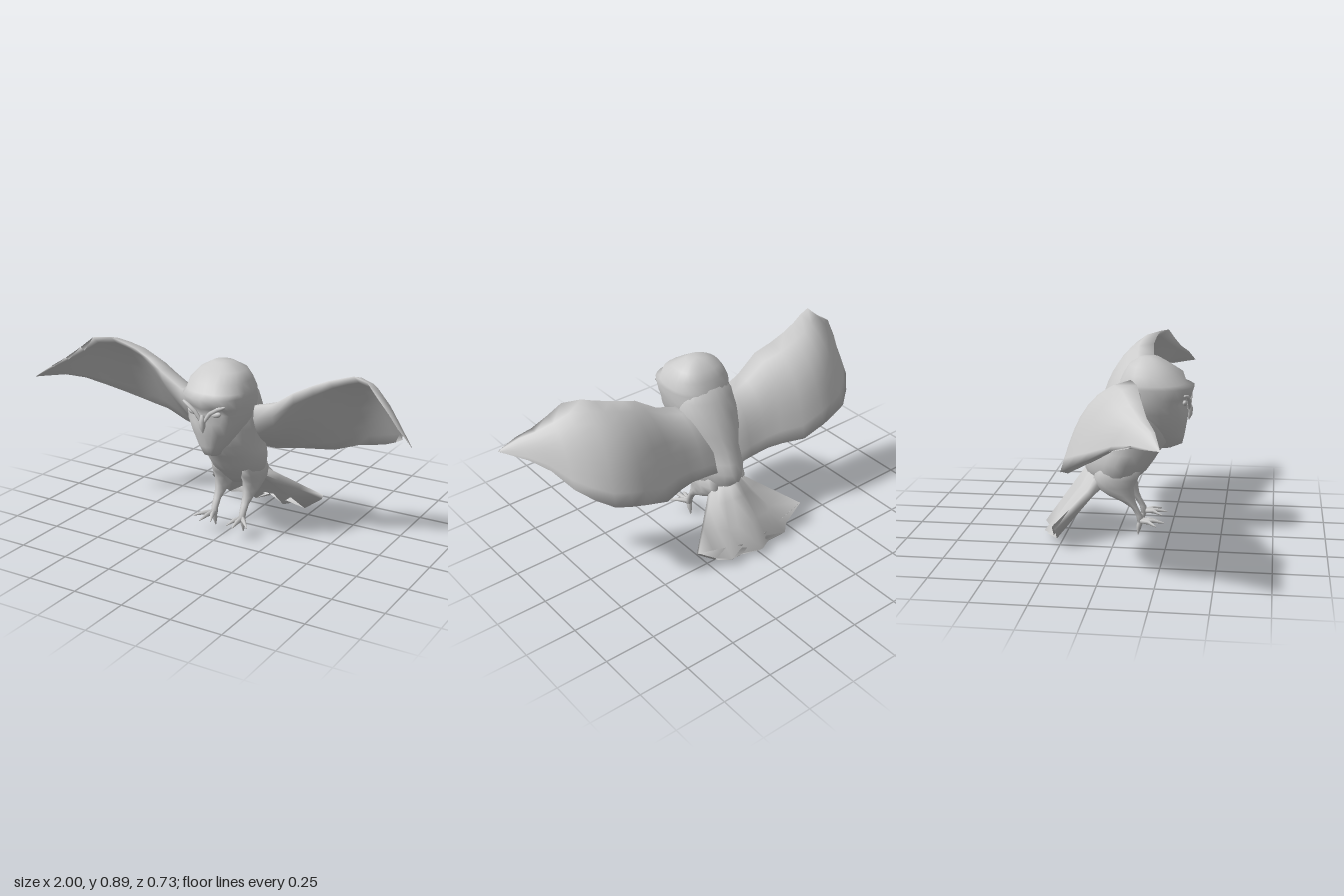
import * as THREE from 'three';

const material = new THREE.MeshStandardMaterial({ color: 0xcccccc, side: THREE.DoubleSide });
const V = (x, y, z) => new THREE.Vector3(x, y, z);

// Skin a list of equal-sized rings into a closed form, capped at both ends
function loft(name, rings) {
  const n = rings[0].length, pts = rings.flat(), index = [];
  for (let r = 0; r < rings.length - 1; r++) {
    for (let i = 0; i < n; i++) {
      const a = r * n + i, b = r * n + (i + 1) % n;
      index.push(a, b, a + n, b, b + n, a + n);
    }
  }
  [0, rings.length - 1].forEach((r) => {
    const c = pts.length;
    pts.push(rings[r].reduce((s, p) => s.add(p), V(0, 0, 0)).divideScalar(n));
    for (let i = 0; i < n; i++) {
      const a = r * n + i, b = r * n + (i + 1) % n;
      r ? index.push(a, b, c) : index.push(b, a, c);
    }
  });
  const g = new THREE.BufferGeometry().setFromPoints(pts);
  g.setIndex(index);
  g.computeVertexNormals();
  const m = new THREE.Mesh(g, material);
  m.name = name;
  return m;
}

// Horizontal rings from rows of [y, front z, back z, half width], listed top down;
// power below 1 makes them squarer
function ovalRings(rows, sides, cx = 0, power = 1) {
  const bend = (v) => Math.sign(v) * Math.pow(Math.abs(v), power);
  return rows.map(([y, zf, zb, w]) => Array.from({ length: sides }, (_, i) => {
    const a = -i / sides * Math.PI * 2;
    return V(cx + bend(Math.sin(a)) * w, y, (zf + zb) / 2 + bend(Math.cos(a)) * (zf - zb) / 2);
  }));
}

// Tapered round limb along [x, y, z, radius] stations
function limb(name, stations, side, sides = 6) {
  const path = stations.map(([x, y, z]) => V(x * side, y, z));
  return loft(name, path.map((p, k) => {
    const d = path[Math.min(k + 1, path.length - 1)].clone().sub(path[Math.max(k - 1, 0)]).normalize();
    const u = V(1, 0, 0).cross(d).normalize(), v = d.clone().cross(u);
    return Array.from({ length: sides }, (_, i) => {
      const a = i / sides * Math.PI * 2, r = stations[k][3];
      return p.clone().addScaledVector(u, Math.cos(a) * r).addScaledVector(v, Math.sin(a) * r);
    });
  }));
}

function createBody() {
  const rings = ovalRings([
    [0.78, 0.14, 0.02, 0.1], [0.71, 0.19, -0.03, 0.14], [0.64, 0.23, -0.07, 0.15],
    [0.56, 0.26, -0.105, 0.148], [0.48, 0.25, -0.135, 0.138], [0.42, 0.2, -0.155, 0.148],
    [0.37, 0.17, -0.175, 0.15], [0.32, 0.135, -0.165, 0.138], [0.27, 0.08, -0.14, 0.11],
    [0.235, 0.05, -0.11, 0.05],
  ], 20);
  // Narrow the lower back towards the tail
  rings.flat().forEach((p) => {
    if (p.y < 0.5 && p.z < 0) p.x *= 1 + p.z * 2.5;
  });
  return loft('body', rings);
}

function createHead() {
  const head = new THREE.Group();
  head.name = 'head';
  const rings = ovalRings([
    [0.872, 0.19, 0.1, 0.05], [0.84, 0.24, 0.05, 0.11], [0.8, 0.305, 0.025, 0.14],
    [0.757, 0.32, 0.005, 0.155], [0.74, 0.36, 0, 0.158], [0.69, 0.345, -0.02, 0.155],
    [0.66, 0.335, -0.03, 0.148], [0.62, 0.335, -0.03, 0.142], [0.56, 0.325, 0, 0.115],
    [0.5, 0.315, 0.08, 0.075], [0.458, 0.305, 0.14, 0.035], [0.435, 0.25, 0.15, 0.02],
  ], 24, 0, 0.85);
  // Sink the eye sockets
  rings.flat().forEach((p) => {
    const d = Math.hypot(Math.abs(p.x) - 0.065, p.y - 0.67);
    if (p.z > 0.2 && d < 0.05) p.z -= 0.035 * (1 - d / 0.05);
  });
  head.add(loft('skull', rings));
  for (const s of [-1, 1]) {
    const eye = new THREE.Mesh(new THREE.SphereGeometry(0.022, 12, 8), material);
    eye.name = 'eye';
    eye.scale.set(1.1, 0.6, 0.5);
    eye.rotation.z = s * 0.3;
    eye.position.set(s * 0.065, 0.668, 0.32);
    head.add(eye);
    head.add(limb('brow', [[0.11, 0.71, 0.322, 0.006], [0.08, 0.7, 0.334, 0.01],
      [0.04, 0.675, 0.337, 0.01], [0.008, 0.63, 0.336, 0.008]], s));
  }
  head.add(limb('beak', [[0, 0.66, 0.332, 0.01], [0, 0.63, 0.338, 0.016],
    [0, 0.6, 0.338, 0.013], [0, 0.575, 0.335, 0.002]], 1));
  return head;
}

// Wing stations: leading edge xyz, trailing edge xyz, camber, thickness
const wingStations = [
  [0.02, 0.66, 0.09, 0.02, 0.38, -0.12, 0.045, 0.1],
  [0.16, 0.67, 0.12, 0.14, 0.385, -0.11, 0.065, 0.13],
  [0.25, 0.695, 0.135, 0.23, 0.4, -0.12, 0.075, 0.13],
  [0.36, 0.77, 0.143, 0.31, 0.405, -0.14, 0.08, 0.11],
  [0.44, 0.81, 0.12, 0.42, 0.407, -0.178, 0.085, 0.09],
  [0.52, 0.845, 0.112, 0.54, 0.45, -0.188, 0.085, 0.07],
  [0.59, 0.87, 0.12, 0.61, 0.467, -0.178, 0.08, 0.055],
  [0.65, 0.892, 0.135, 0.69, 0.49, -0.163, 0.07, 0.045],
  [0.73, 0.887, 0.17, 0.76, 0.53, -0.11, 0.055, 0.035],
  [0.79, 0.835, 0.195, 0.82, 0.575, -0.04, 0.045, 0.03],
  [0.86, 0.78, 0.225, 0.865, 0.635, 0.07, 0.03, 0.025],
  [0.92, 0.738, 0.265, 0.92, 0.667, 0.16, 0.015, 0.015],
  [1.0, 0.68, 0.295, 0.995, 0.678, 0.285, 0.0, 0.002],
];

function createWing(side, name) {
  const steps = 8;
  return loft(name, wingStations.map(([lx, ly, lz, tx, ty, tz, camber, thick]) => {
    const lead = V(lx * side, ly, lz), trail = V(tx * side, ty, tz);
    const up = V(0, lz - tz, ty - ly).normalize();
    const ring = [];
    for (let i = 0; i < steps * 2; i++) {
      const under = i > steps;
      const t = under ? 2 - i / steps : i / steps;
      const bulge = camber * Math.sin(Math.PI * Math.pow(t, 0.72));
      const depth = under ? thick * Math.sin(Math.PI * Math.pow(t, 0.7)) : 0;
      ring.push(lead.clone().lerp(trail, t).addScaledVector(up, bulge - depth));
    }
    return side > 0 ? ring.reverse() : ring;
  }));
}

// Pleated fan: ridge and valley rays from a thick rump to a thin scalloped rim
function createTail() {
  const half = [[0, 0.04, -0.365], [0.08, 0.02, -0.315], [0.165, 0.045, -0.34],
    [0.22, 0.04, -0.285], [0.32, 0.115, -0.275]];
  const tips = [...half.slice(1).reverse().map(([x, y, z]) => [-x, y, z]), ...half];
  const rings = [0, 0.3, 0.65, 1].map((t) => {
    const top = tips.map(([x, y, z]) => {
      const drop = Math.abs(x) * 0.2;
      return V(x * 0.24, 0.36 - drop, -0.14 + drop).lerp(V(x, y, z), t);
    });
    const under = top.map((p, i) => {
      const depth = THREE.MathUtils.lerp(0.12 - Math.abs(tips[i][0]) * 0.25, 0.022, Math.pow(t, 0.8));
      return p.clone().addScaledVector(V(0, -0.75, 0.66), depth);
    });
    return [...top, ...under.reverse()];
  });
  return loft('tail', rings);
}

function createLeg(side, name) {
  const leg = new THREE.Group();
  leg.name = name;
  // Feathered thigh narrowing to the shank
  leg.add(loft('thighAndShank', ovalRings([
    [0.38, 0.1, -0.06, 0.02], [0.33, 0.115, -0.1, 0.045], [0.29, 0.1, -0.115, 0.05],
    [0.25, 0.08, -0.11, 0.045], [0.21, 0.085, -0.05, 0.035], [0.18, 0.09, 0.02, 0.027],
    [0.15, 0.102, 0.068, 0.02], [0.11, 0.125, 0.092, 0.017], [0.075, 0.132, 0.1, 0.017],
  ], 10, 0.078 * side)));
  for (const [x, y, z] of [[0.045, 0.075, 0.205], [0.09, 0.08, 0.23], [0.15, 0.08, 0.195]]) {
    leg.add(limb('toe', [[0.08, 0.085, 0.115, 0.014], [(x + 0.08) / 2, 0.088, (z + 0.12) / 2, 0.011],
      [x, y, z, 0.003]], side));
  }
  leg.add(limb('hindToe', [[0.08, 0.085, 0.115, 0.014], [0.08, 0.05, 0.106, 0.012],
    [0.078, 0.012, 0.102, 0.002]], side));
  return leg;
}

export function createModel() {
  const bird = new THREE.Group();
  bird.name = 'flyingOwl';
  bird.add(createBody(), createHead(), createTail());
  for (const [side, label] of [[1, 'left'], [-1, 'right']]) {
    bird.add(createWing(side, label + 'Wing'), createLeg(side, label + 'Leg'));
  }
  return bird;
}
